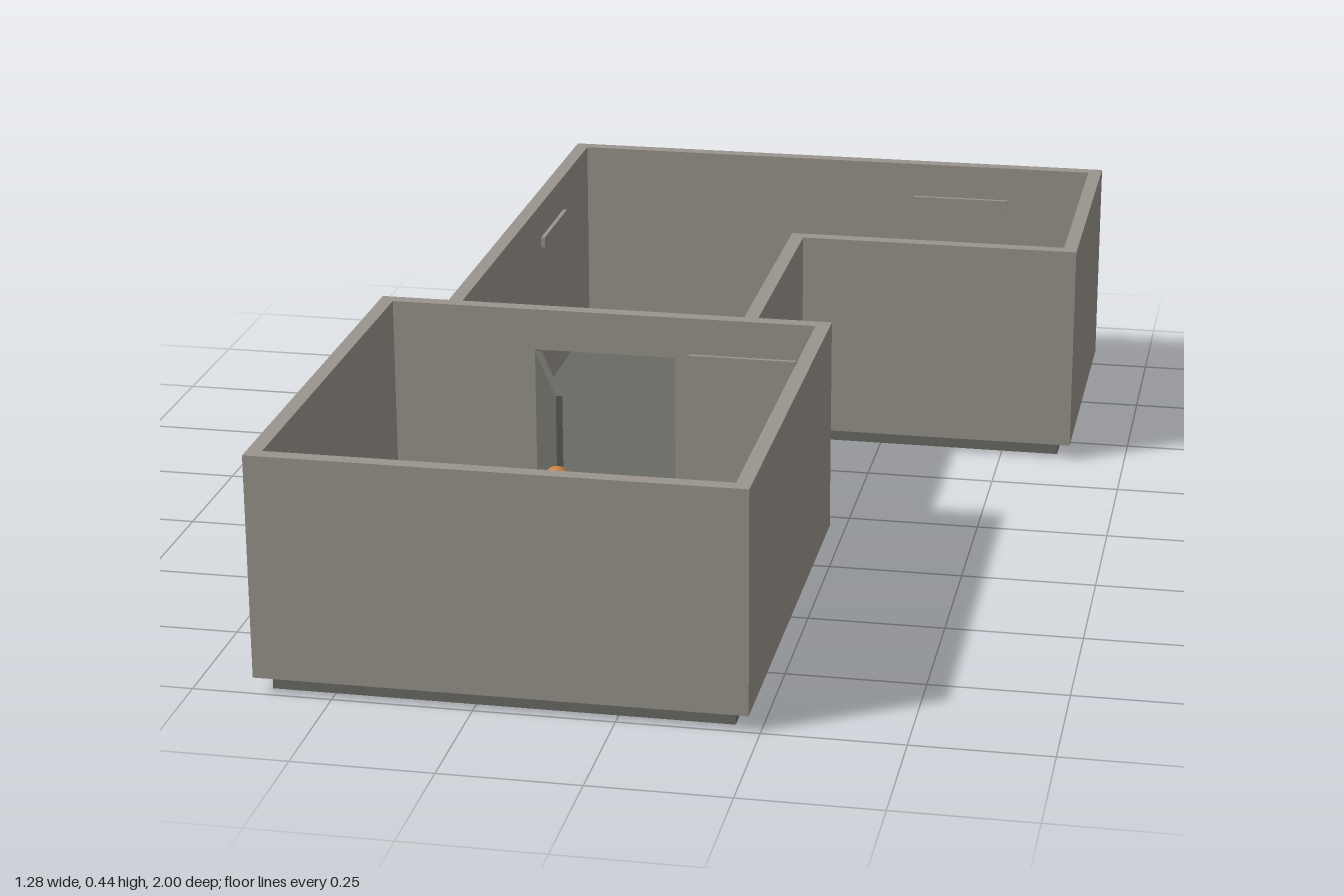
import * as THREE from 'three';

const FLOOR = 0.03, TOP = 0.44, T = 0.027;

export function createModel() {
  const model = new THREE.Group();
  model.name = 'floorPlan';
  const material = (name, color) => {
    const m = new THREE.MeshStandardMaterial({ color });
    m.name = name;
    return m;
  };
  const wallGrey = material('wall grey', 0x99948c);
  const floorGrey = material('floor grey', 0x6a6a64);
  const orange = material('figure orange', 0xcd8142);

  const add = (name, geometry, mat, x = 0, y = 0, z = 0, parent = model) => {
    const mesh = new THREE.Mesh(geometry, mat);
    mesh.name = name;
    mesh.position.set(x, y, z);
    parent.add(mesh);
    return mesh;
  };
  // Extrudes a plan outline of [x, z] points upward
  const plan = (points, height) => {
    const shape = new THREE.Shape(points.map(([x, z]) => new THREE.Vector2(x, -z)));
    return new THREE.ExtrudeGeometry(shape, { depth: height, bevelEnabled: false }).rotateX(-Math.PI / 2);
  };

  // Floor slab, inset under the walls
  add('floor', plan([
    [-0.64 + T, 1 - T], [0.23 - T, 1 - T], [0.23 - T, 0.12 + T], [0.09 - T, 0.12 + T],
    [0.09 - T, -0.4 - T], [0.64 - T, -0.4 - T], [0.64 - T, -1 + T], [-0.51 + T, -1 + T],
    [-0.51 + T, 0.12 + T], [-0.64 + T, 0.12 + T],
  ], FLOOR), floorGrey);

  // Outer walls of the front room, open toward the dividing wall
  add('frontRoomWalls', plan([
    [-0.64, 0.12 + T], [-0.64, 1], [0.23, 1], [0.23, 0.12 + T],
    [0.23 - T, 0.12 + T], [0.23 - T, 1 - T], [-0.64 + T, 1 - T], [-0.64 + T, 0.12 + T],
  ], TOP - FLOOR), wallGrey, 0, FLOOR);

  // Walls of the L-shaped back room
  add('backRoomWalls', plan([
    [-0.51, 0.12], [-0.51 + T, 0.12], [-0.51 + T, -1 + T], [0.64 - T, -1 + T],
    [0.64 - T, -0.4 - T], [0.09 - T, -0.4 - T], [0.09 - T, 0.12], [0.09, 0.12],
    [0.09, -0.4], [0.64, -0.4], [0.64, -1], [-0.51, -1],
  ], TOP - FLOOR), wallGrey, 0, FLOOR);

  // Dividing wall with its doorway
  const doorLeft = -0.335, doorRight = -0.065, doorTop = 0.36;
  const divider = new THREE.Shape([
    [-0.64, FLOOR], [doorLeft, FLOOR], [doorLeft, doorTop], [doorRight, doorTop],
    [doorRight, FLOOR], [0.23, FLOOR], [0.23, TOP], [-0.64, TOP],
  ].map(([x, y]) => new THREE.Vector2(x, y)));
  add('dividingWall', new THREE.ExtrudeGeometry(divider, { depth: T, bevelEnabled: false }), wallGrey, 0, 0, 0.12);

  // Door standing open into the front room
  const hinge = new THREE.Group();
  hinge.name = 'openDoor';
  hinge.position.set(doorLeft + 0.005, FLOOR, 0.12 + T);
  hinge.rotation.y = -1.19;
  model.add(hinge);
  const doorHeight = doorTop - FLOOR - 0.003;
  add('doorPanel', new THREE.BoxGeometry(0.258, doorHeight, 0.012), floorGrey, 0.129, doorHeight / 2, 0, hinge);

  // Narrow bars mounted high on the inside of the walls
  const bars = [
    [0.34, -1 + T, 0], [0.065, 0.12 + T, 0], [-0.07, 1 - T, 0],
    [-0.51 + T, -0.63, 1], [0.23 - T, 0.555, 1],
  ];
  for (const [x, z, alongZ] of bars) {
    const size = alongZ ? [0.016, 0.022, 0.205] : [0.205, 0.022, 0.016];
    add('wallBar', new THREE.BoxGeometry(...size), wallGrey, x, 0.358, z);
  }

  // Small standing figure
  const figure = new THREE.Group();
  figure.name = 'figure';
  figure.position.set(-0.21, FLOOR, 0.515);
  model.add(figure);
  add('head', new THREE.SphereGeometry(0.026, 16, 12), orange, 0, 0.212, 0, figure);
  const torso = [[0, 0.08], [0.027, 0.083], [0.03, 0.12], [0.041, 0.155], [0.036, 0.174], [0.012, 0.184], [0.01, 0.195]]
    .map(([r, y]) => new THREE.Vector2(r, y));
  add('torso', new THREE.LatheGeometry(torso, 16), orange, 0, 0, 0, figure).scale.z = 0.58;
  for (const side of [-1, 1]) {
    add('leg', new THREE.CylinderGeometry(0.013, 0.01, 0.09, 10), orange, side * 0.015, 0.045, 0, figure);
    add('arm', new THREE.CapsuleGeometry(0.008, 0.07, 4, 8), orange, side * 0.038, 0.125, 0, figure);
  }
  return model;
}
